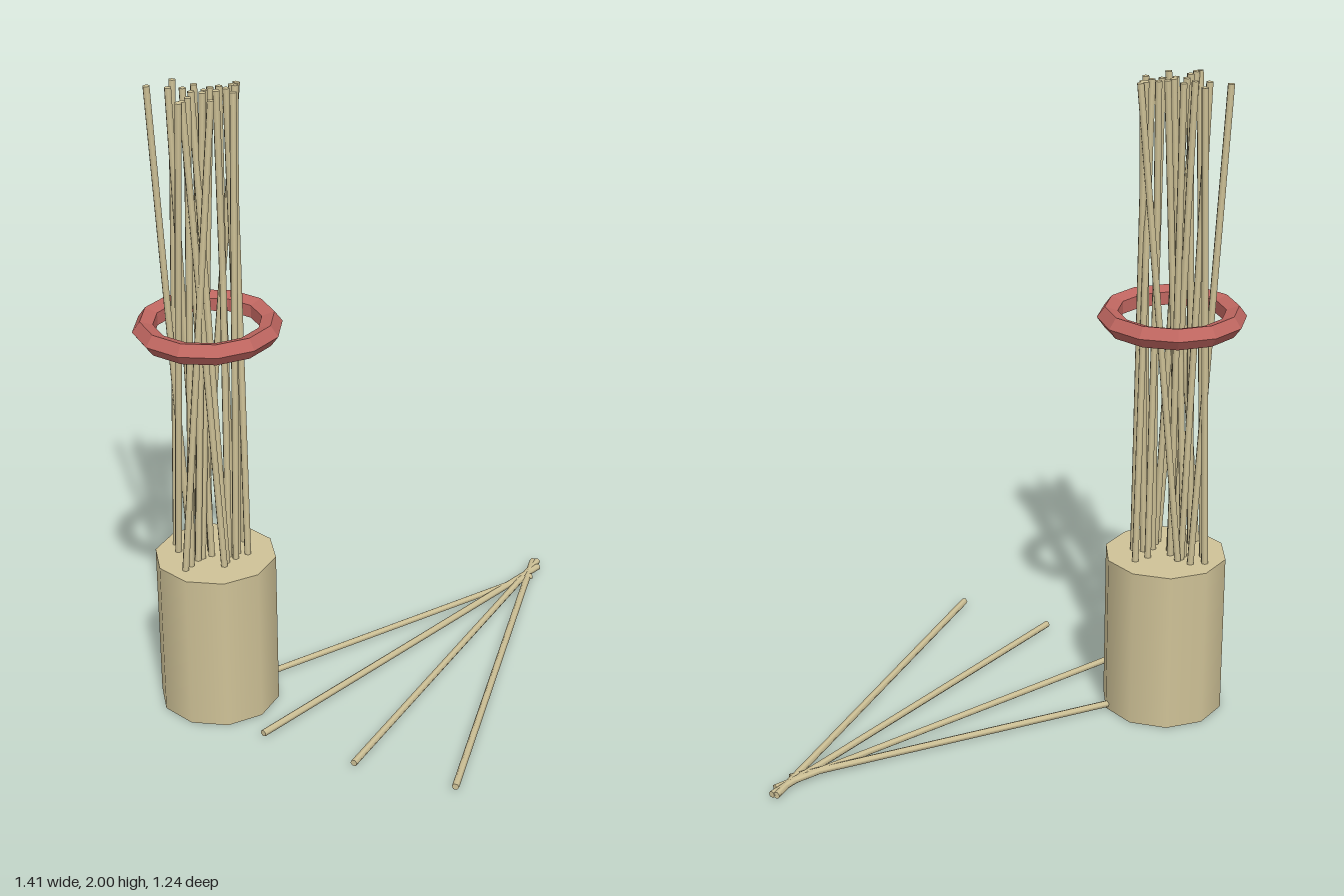
import * as THREE from 'three';

const CX = -0.487, CZ = -0.04;
const STICK_R = 0.011;

export function createModel() {
  const model = new THREE.Group();
  model.name = 'stickHolderSet';
  const wood = new THREE.MeshStandardMaterial({ color: 0xcfc297 });
  const red = new THREE.MeshStandardMaterial({ color: 0xbf6660, flatShading: true });

  const add = (parent, name, geometry, material, x, y, z) => {
    const mesh = new THREE.Mesh(geometry, material);
    mesh.name = name;
    mesh.position.set(x, y, z);
    parent.add(mesh);
    return mesh;
  };

  // A thin rod between two points
  const up = new THREE.Vector3(0, 1, 0);
  const addStick = (parent, name, a, b) => {
    const dir = b.clone().sub(a);
    const geometry = new THREE.CylinderGeometry(STICK_R, STICK_R, dir.length(), 6);
    const mid = a.clone().add(b).multiplyScalar(0.5);
    const mesh = add(parent, name, geometry, wood, mid.x, mid.y, mid.z);
    mesh.quaternion.setFromUnitVectors(up, dir.normalize());
  };

  // Solid ten-sided holder
  add(model, 'holder', new THREE.CylinderGeometry(0.188, 0.188, 0.51, 10), wood, CX, 0.255, CZ);

  // Faceted ring around the bundle
  const ring = new THREE.TorusGeometry(0.188, 0.034, 5, 12).rotateX(-Math.PI / 2);
  add(model, 'ring', ring, red, CX, 1.278, CZ);

  // Standing sticks: top x, z and foot x, z
  const bundle = new THREE.Group();
  bundle.name = 'standingSticks';
  model.add(bundle);
  const standing = [
    [-0.55, -0.163, -0.6, -0.12], [-0.628, -0.12, -0.555, -0.125],
    [-0.57, -0.095, -0.53, -0.09], [-0.53, -0.085, -0.5, -0.03],
    [-0.374, -0.106, -0.52, -0.1], [-0.382, -0.083, -0.42, -0.03],
    [-0.395, -0.022, -0.43, 0.0], [-0.465, 0.034, -0.59, 0.042],
    [-0.556, 0.04, -0.598, -0.075], [-0.545, 0.03, -0.47, 0.04],
    [-0.453, -0.076, -0.53, -0.02], [-0.427, -0.083, -0.45, -0.015],
    [-0.472, -0.057, -0.545, -0.01], [-0.51, -0.05, -0.46, 0.02],
    [-0.495, -0.11, -0.5, -0.06], [-0.41, -0.06, -0.39, -0.1],
    [-0.48, -0.035, -0.54, -0.07], [-0.44, -0.045, -0.43, -0.075],
    [-0.525, 0.0, -0.57, 0.02], [-0.39, -0.09, -0.39, -0.02],
  ];
  for (const [tx, tz, fx, fz] of standing) {
    addStick(bundle, 'standingStick', new THREE.Vector3(fx, 0.5, fz), new THREE.Vector3(tx, 1.998, tz));
  }

  // Sticks lying in a fan on the ground: x, z of both ends
  const fan = new THREE.Group();
  fan.name = 'lyingSticks';
  model.add(fan);
  const lying = [
    [0.65, -0.52, -0.592, 0.02], [0.69, -0.578, -0.39, 0.235],
    [0.697, -0.614, -0.145, 0.44], [0.683, -0.62, 0.13, 0.615],
  ];
  for (const [ax, az, bx, bz] of lying) {
    addStick(fan, 'lyingStick', new THREE.Vector3(ax, 0.016, az), new THREE.Vector3(bx, 0.016, bz));
  }
  return model;
}
